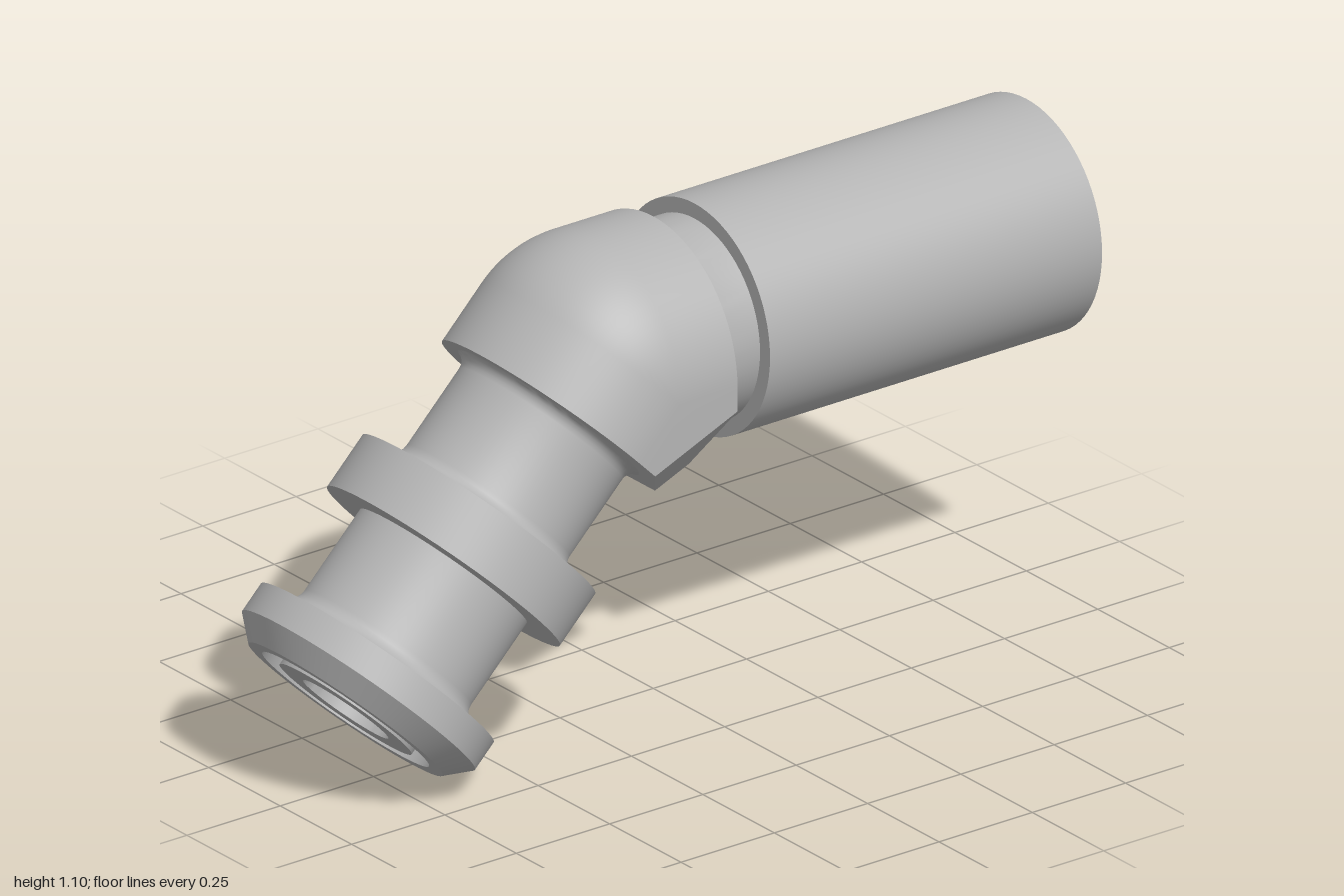
import * as THREE from 'three';
import { toCreasedNormals } from 'three/addons/utils/BufferGeometryUtils.js';

const steel = new THREE.MeshStandardMaterial({ color: 0xb4b4b4, side: THREE.DoubleSide });
steel.name = 'steel';

const BEND = [-0.165, 0.84]; // where the two bore axes meet
const BORE = 0.11;
const CREASE = 0.6;

function addMesh(parent, name, geometry) {
  const mesh = new THREE.Mesh(geometry, steel);
  mesh.name = name;
  parent.add(mesh);
}

// Quarter-round between a neck of radius r and a face at position s.
// dir = 1: the neck lies beyond the face; dir = -1: the neck leads up to it.
function fillet(r, s, size, dir) {
  const pts = [];
  for (let i = 0; i <= 5; i++) {
    const a = (i / 5) * Math.PI / 2;
    pts.push([r + size * (1 - Math.sin(a)), s + dir * size * (1 - Math.cos(a))]);
  }
  return dir > 0 ? pts : pts.reverse();
}

// Turned arm starting at the bend; its bore is mitred where it meets the other.
function turnedArm(profile, angle, mitre) {
  const geo = new THREE.LatheGeometry(profile.map(([r, s]) => new THREE.Vector2(r, s)), 72);
  const p = geo.attributes.position;
  for (let i = 0; i < p.count; i++) {
    if (Math.abs(p.getY(i)) < 1e-6) p.setY(i, mitre * p.getX(i) * Math.tan(Math.PI / 8));
  }
  return toCreasedNormals(geo, CREASE).rotateZ(angle).translate(BEND[0], BEND[1], 0);
}

// Forged elbow: arched top swept round the bend, flat facets beneath.
function addElbow(parent) {
  const R = 0.295, cx = -0.153, cy = 0.81, pivotY = 0.443;
  const section = [];
  for (let i = 0; i <= 40; i++) {
    const a = (i / 40) * Math.PI;
    section.push([R * Math.cos(a), R * Math.sin(a)]);
  }
  section.push([-R, -0.055], [-0.125, -0.238], [0.125, -0.238], [R, -0.055]);

  const arcSteps = 12, rows = arcSteps + 3, n = section.length;
  const verts = [], index = [];
  for (let i = 0; i < rows; i++) {
    const t = i / (rows - 1);
    const a = ((i - 1) / arcSteps) * Math.PI / 4;
    for (const [z, h] of section) {
      const rho = (cy + h - pivotY) * Math.SQRT1_2;
      const end = [-rho, pivotY + rho];
      let x, y;
      if (i === 0) [x, y] = [0, cy + h];
      else if (i === rows - 1) [x, y] = end;
      else if (h < -1e-6) [x, y] = [end[0] * t, (cy + h) * (1 - t) + end[1] * t];
      else [x, y] = [cx - h * Math.sin(a), cy + h * Math.cos(a)];
      verts.push(x, y, z);
    }
  }
  for (let i = 0; i < rows - 1; i++) {
    for (let j = 0; j < n; j++) {
      const k = (j + 1) % n, a = i * n, b = a + n;
      index.push(a + j, a + k, b + j, a + k, b + k, b + j);
    }
  }
  const geo = new THREE.BufferGeometry();
  geo.setAttribute('position', new THREE.Float32BufferAttribute(verts, 3));
  geo.setIndex(index);
  addMesh(parent, 'elbowBody', toCreasedNormals(geo, 0.4));

  // End faces, pierced by the bore
  const shape = new THREE.Shape(section.map(([z, h]) => new THREE.Vector2(z, h)));
  const hole = new THREE.Path();
  hole.absarc(0, 0.03, BORE, 0, Math.PI * 2, true);
  shape.holes.push(hole);
  const face = () => new THREE.ShapeGeometry(shape, 36);
  const rho = (cy - pivotY) * Math.SQRT1_2;
  addMesh(parent, 'elbowSleeveFace', face().rotateY(Math.PI / 2).translate(0, cy, 0));
  addMesh(parent, 'elbowFlangeFace',
    face().rotateY(-Math.PI / 2).rotateZ(Math.PI / 4).translate(-rho, pivotY + rho, 0));
}

export function createModel() {
  const model = new THREE.Group();
  model.name = 'hoseFitting';

  addElbow(model);

  // Collar, crimp sleeve, hose cavity, nipple and bore
  addMesh(model, 'sleeveAndNipple', turnedArm([
    ...fillet(0.23, 0.165, 0.025, 1),
    [0.23, 0.275], [0.265, 0.275], [0.265, 1.165], [0.238, 1.165],
    [0.225, 1.1], [0.225, 0.32], [0.165, 0.32],
    [0.165, 1.13], [0.149, 1.146], [BORE, 1.146], [BORE, 0],
  ], -Math.PI / 2, 1));

  // Neck, middle collar, end flange with seal groove, and bore
  addMesh(model, 'flangedNeck', turnedArm([
    ...fillet(0.21, 0.163, 0.03, 1),
    ...fillet(0.21, 0.428, 0.035, -1),
    [0.3, 0.428], [0.3, 0.562], [0.215, 0.562],
    ...fillet(0.215, 0.813, 0.04, -1),
    [0.3, 0.813], [0.3, 0.884], [0.25, 0.933],
    [0.215, 0.933], [0.215, 0.9], [0.17, 0.9], [0.17, 0.933],
    [BORE, 0.933], [BORE, 0],
  ], Math.PI * 0.75, -1));

  return model;
}
